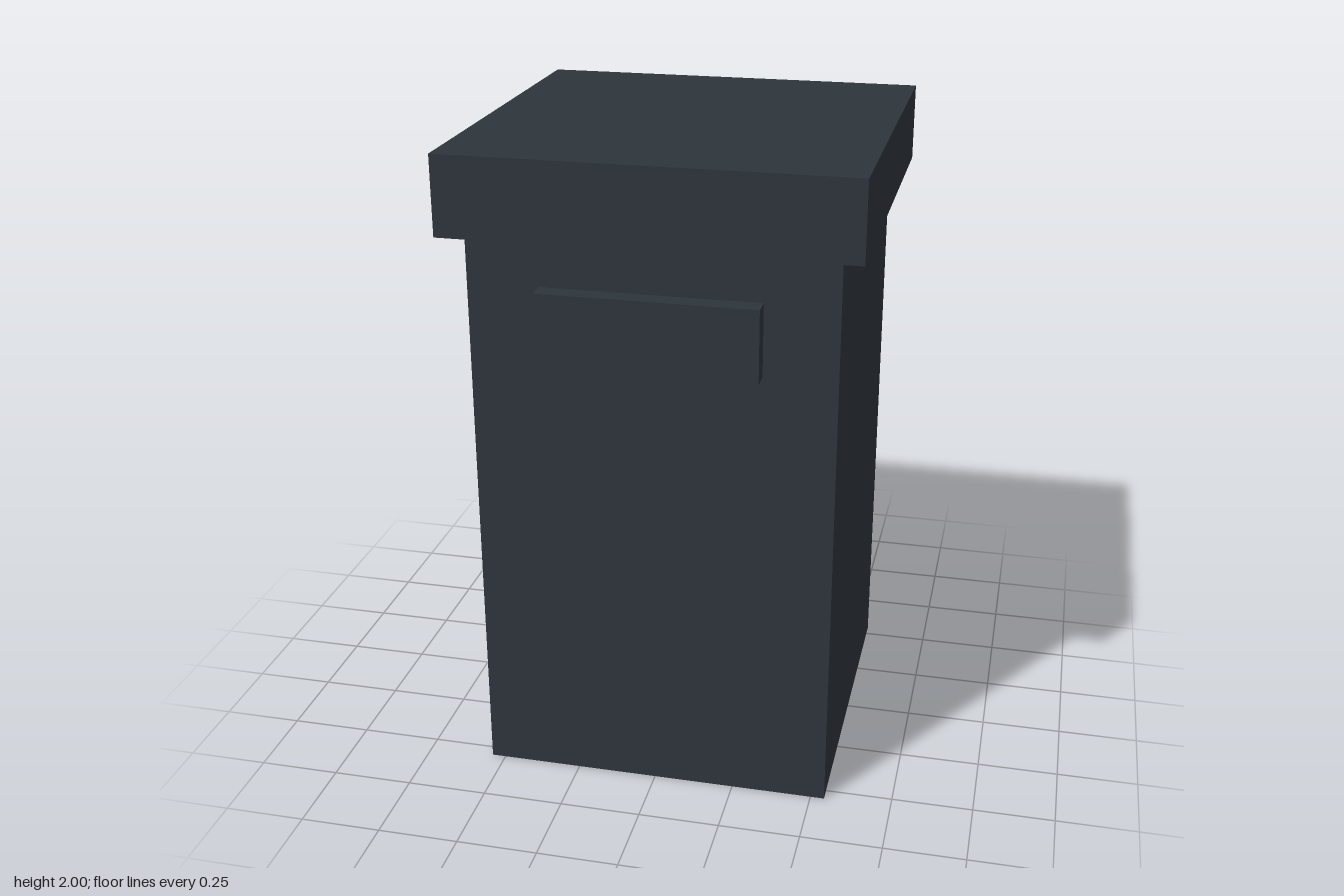
import * as THREE from 'three';

export function createModel() {
  const group = new THREE.Group();
  const slate = new THREE.MeshStandardMaterial({ color: 0x2e353b });
  slate.name = 'darkSlate';

  // Adds a named box from its minimum and maximum corners
  function addBox(name, min, max) {
    const size = max.map((v, i) => v - min[i]);
    const mesh = new THREE.Mesh(new THREE.BoxGeometry(...size), slate);
    mesh.position.set(...max.map((v, i) => (v + min[i]) / 2));
    mesh.name = name;
    group.add(mesh);
  }

  // Tall square bin
  addBox('body', [-0.543, 0, -0.543], [0.543, 1.76, 0.543]);
  // Overhanging lid
  addBox('lid', [-0.61, 1.76, -0.61], [0.61, 2, 0.61]);
  // Raised plate on the front
  addBox('frontHandle', [-0.327, 1.392, 0.54], [0.325, 1.613, 0.603]);

  return group;
}
